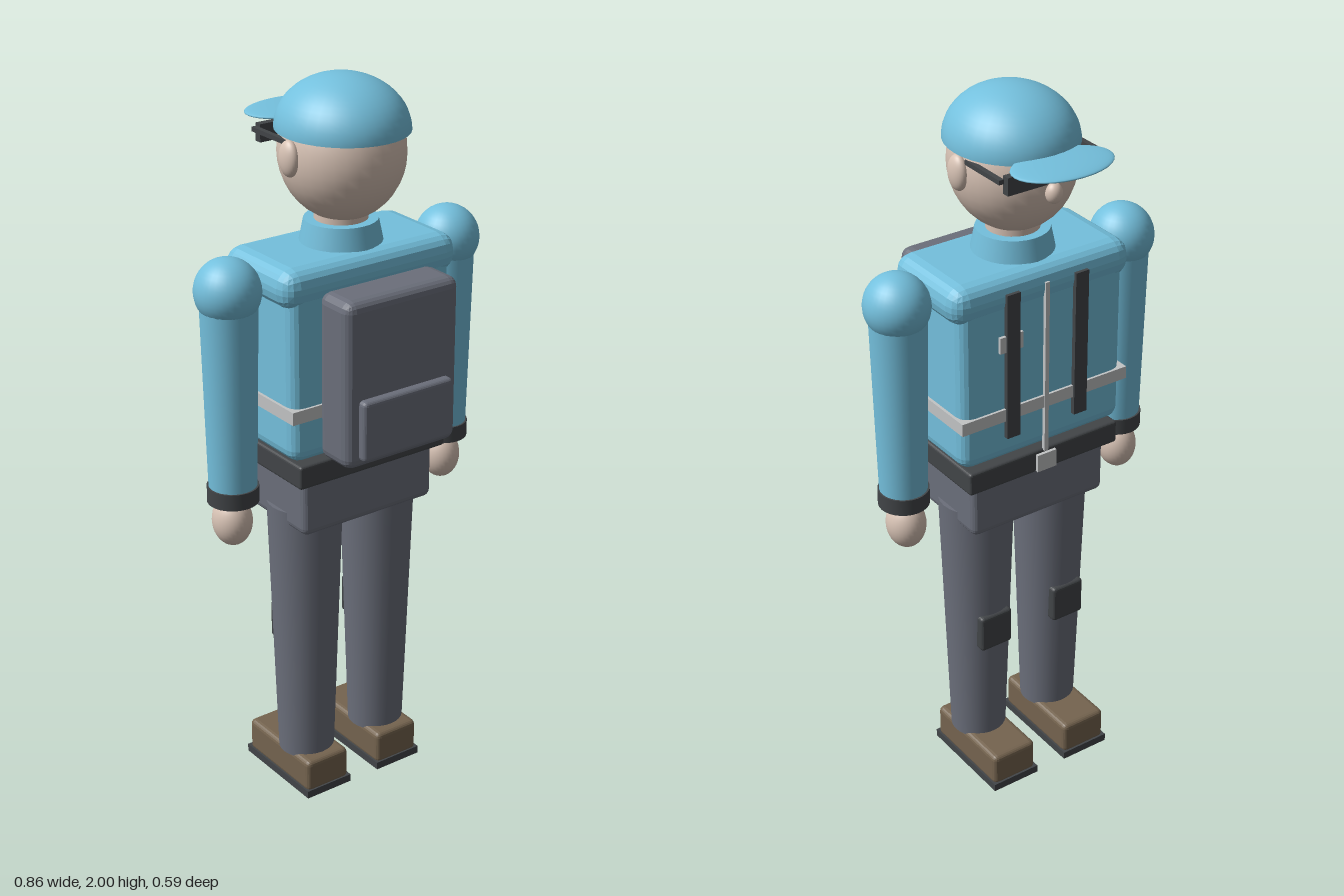
import * as THREE from 'three';
import { RoundedBoxGeometry } from 'three/addons/geometries/RoundedBoxGeometry.js';

const mat = (name, color, extra = {}) => {
  const m = new THREE.MeshStandardMaterial({ color, ...extra });
  m.name = name;
  return m;
};

export function createModel() {
  const blue = mat('blue fabric', 0x74c0dd, { side: THREE.DoubleSide });
  const grey = mat('slate fabric', 0x6b6f7b);
  const dark = mat('dark trim', 0x424548);
  const skin = mat('skin', 0xd8c3b5);
  const brown = mat('boot leather', 0x75644f);
  const light = mat('reflective grey', 0xc2c4c5);

  const model = new THREE.Group();
  model.name = 'hiker';

  const add = (name, geo, material, x, y, z) => {
    const mesh = new THREE.Mesh(geo, material);
    mesh.name = name;
    mesh.position.set(x, y, z);
    model.add(mesh);
    return mesh;
  };
  // Boxes are given by their limits: x centre, width, y range, z range
  const box = (name, material, x, w, y0, y1, z0, z1, bevel = 0) => {
    const h = y1 - y0, d = z1 - z0;
    let geo;
    if (bevel) {
      geo = new RoundedBoxGeometry(w, h, d, 2, bevel);
      geo.computeVertexNormals();
    } else geo = new THREE.BoxGeometry(w, h, d);
    return add(name, geo, material, x, (y0 + y1) / 2, (z0 + z1) / 2);
  };
  const ball = (name, material, x, y, z, rx, ry, rz) =>
    add(name, new THREE.SphereGeometry(1, 32, 20).scale(rx, ry, rz), material, x, y, z);
  const tube = (name, material, x, y0, y1, rBottom, rTop) =>
    add(name, new THREE.CylinderGeometry(rTop, rBottom, y1 - y0, 28), material, x, (y0 + y1) / 2, 0);

  // Head and cap; the face looks towards -z
  ball('head', skin, 0, 1.805, 0.003, 0.16, 0.178, 0.171);
  ball('nose', skin, 0, 1.78, -0.172, 0.022, 0.028, 0.022);
  add('capDome', new THREE.SphereGeometry(1, 36, 14, 0, Math.PI * 2, 0, Math.PI / 2).scale(0.168, 0.138, 0.181),
    blue, 0, 1.862, 0.006);
  ball('capBrim', blue, 0, 1.867, -0.205, 0.14, 0.012, 0.09);
  box('glassesBridge', dark, 0, 0.06, 1.835, 1.85, -0.175, -0.16);

  // Neck and jacket
  tube('neck', skin, 0, 1.56, 1.67, 0.07, 0.07);
  tube('collar', blue, 0, 1.55, 1.628, 0.112, 0.096);
  box('torso', blue, 0, 0.5, 1.05, 1.56, -0.142, 0.142, 0.035);
  box('shoulderYoke', blue, 0, 0.544, 1.465, 1.57, -0.147, 0.147, 0.045);
  box('reflectiveBand', light, 0, 0.516, 1.17, 1.205, -0.149, 0.149);
  box('zipper', light, 0, 0.012, 1.04, 1.53, -0.152, -0.14);
  box('chestBadge', light, 0.108, 0.07, 1.37, 1.415, -0.151, -0.14);

  // Belt and hips
  box('belt', dark, 0, 0.47, 0.98, 1.045, -0.147, 0.147, 0.008);
  box('buckle', light, 0, 0.06, 0.985, 1.035, -0.156, -0.14);
  box('hips', grey, 0, 0.42, 0.828, 1.0, -0.125, 0.128, 0.02);

  // Backpack
  box('backpack', grey, 0, 0.352, 1.06, 1.51, 0.14, 0.268, 0.028);
  box('backpackPocket', grey, 0, 0.282, 1.085, 1.25, 0.24, 0.292, 0.012);

  // Mirrored parts
  for (const s of [-1, 1]) {
    ball('ear', skin, s * 0.16, 1.81, 0.003, 0.021, 0.047, 0.034);
    box('glassesTemple', dark, s * 0.149, 0.014, 1.838, 1.85, -0.166, -0.02);
    box('glassesLens', dark, s * 0.08, 0.115, 1.808, 1.855, -0.176, -0.155);
    box('shoulderStrap', dark, s * 0.105, 0.04, 1.12, 1.53, -0.155, -0.14);

    ball('shoulder', blue, s * 0.347, 1.505, 0, 0.085, 0.087, 0.088);
    tube('sleeve', blue, s * 0.345, 0.96, 1.5, 0.063, 0.075);
    tube('cuff', dark, s * 0.345, 0.93, 0.975, 0.068, 0.068);
    ball('hand', skin, s * 0.345, 0.87, -0.007, 0.052, 0.07, 0.057);

    tube('trouserLeg', grey, s * 0.12, 0.1, 0.87, 0.077, 0.102);
    box('kneePad', dark, s * 0.12, 0.1, 0.42, 0.53, -0.098, -0.06, 0.01);
    box('boot', brown, s * 0.12, 0.138, 0.012, 0.11, -0.183, 0.105, 0.015);
    box('sole', dark, s * 0.12, 0.146, 0, 0.022, -0.188, 0.109);
  }
  return model;
}
